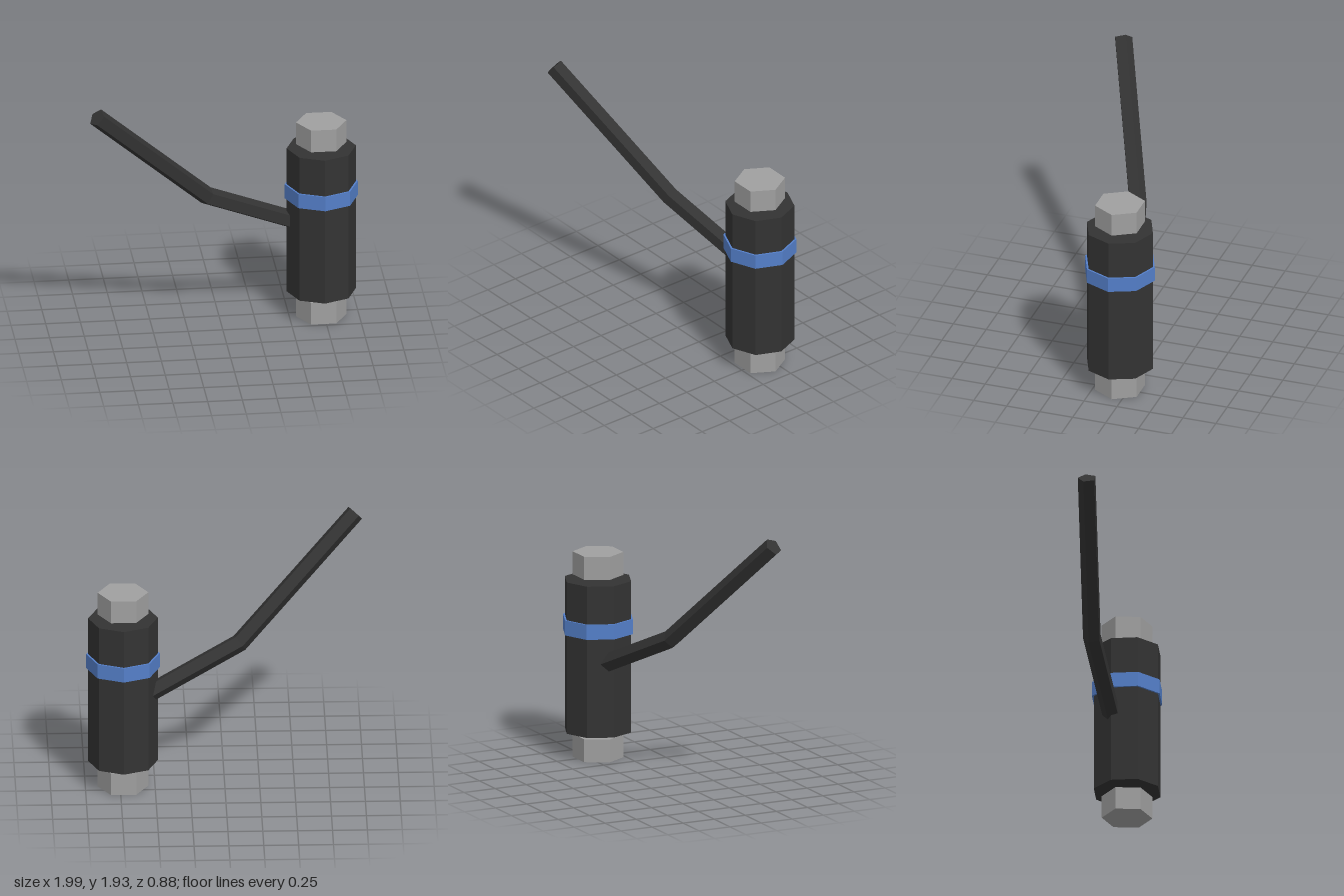
import * as THREE from 'three';

const flat = (name, color) => {
  const m = new THREE.MeshStandardMaterial({ color, flatShading: true });
  m.name = name;
  return m;
};

// Sweeps a regular polygon along straight segments, with mitred bends.
function sweptBar(path, sides, radius, cornerDir) {
  const n = path.length;
  const dirs = path.slice(1).map((p, i) => p.clone().sub(path[i]).normalize());
  const d = dirs[n - 2];
  const u = cornerDir.clone().addScaledVector(d, -cornerDir.dot(d)).normalize();
  const v = d.clone().cross(u);

  // Start at the tip and project each ring back onto the next joint plane
  const rings = [];
  rings[n - 1] = Array.from({ length: sides }, (_, i) => {
    const a = (i / sides) * Math.PI * 2;
    return path[n - 1].clone()
      .addScaledVector(u, Math.cos(a) * radius)
      .addScaledVector(v, Math.sin(a) * radius);
  });
  for (let k = n - 2; k >= 0; k--) {
    const normal = dirs[k].clone().add(dirs[Math.max(k - 1, 0)]).normalize();
    rings[k] = rings[k + 1].map((p) => {
      const t = path[k].clone().sub(p).dot(normal) / dirs[k].dot(normal);
      return p.clone().addScaledVector(dirs[k], t);
    });
  }

  const tris = [];
  for (let i = 0; i < sides; i++) {
    const j = (i + 1) % sides;
    for (let k = 0; k < n - 1; k++) {
      const [a, b, c, e] = [rings[k][i], rings[k][j], rings[k + 1][j], rings[k + 1][i]];
      tris.push(a, b, c, a, c, e);
    }
    tris.push(path[n - 1], rings[n - 1][i], rings[n - 1][j]);
    tris.push(path[0], rings[0][j], rings[0][i]);
  }
  const g = new THREE.BufferGeometry().setFromPoints(tris);
  g.computeVertexNormals();
  return g;
}

export function createModel() {
  const group = new THREE.Group();
  const black = flat('black', 0x333333);
  const blue = flat('blue', 0x547fc9);
  const steel = flat('steel', 0xa0a0a0);

  // Upright prisms share one axis
  const prism = (name, radius, y0, y1, sides, material, turn = 0) => {
    const g = new THREE.CylinderGeometry(radius, radius, y1 - y0, sides);
    g.rotateY(turn);
    const mesh = new THREE.Mesh(g, material);
    mesh.name = name;
    mesh.position.set(0.73, (y0 + y1) / 2, -0.18);
    group.add(mesh);
  };
  prism('barrel', 0.25, 0.2, 1.32, 8, black);
  prism('band', 0.264, 0.93, 1.04, 8, blue);
  prism('lowerNut', 0.182, 0, 0.17, 6, steel, Math.PI / 6);
  prism('upperNut', 0.182, 1.35, 1.52, 6, steel, Math.PI / 6);

  // Bent five-sided handle rooted in the barrel
  const path = [
    new THREE.Vector3(0.6, 0.714, -0.221),
    new THREE.Vector3(-0.11, 1.045, -0.02),
    new THREE.Vector3(-0.95, 1.876, 0.378),
  ];
  const handle = new THREE.Mesh(
    sweptBar(path, 5, 0.068, new THREE.Vector3(-0.051, -0.049, -0.006)), black);
  handle.name = 'handle';
  group.add(handle);

  return group;
}
